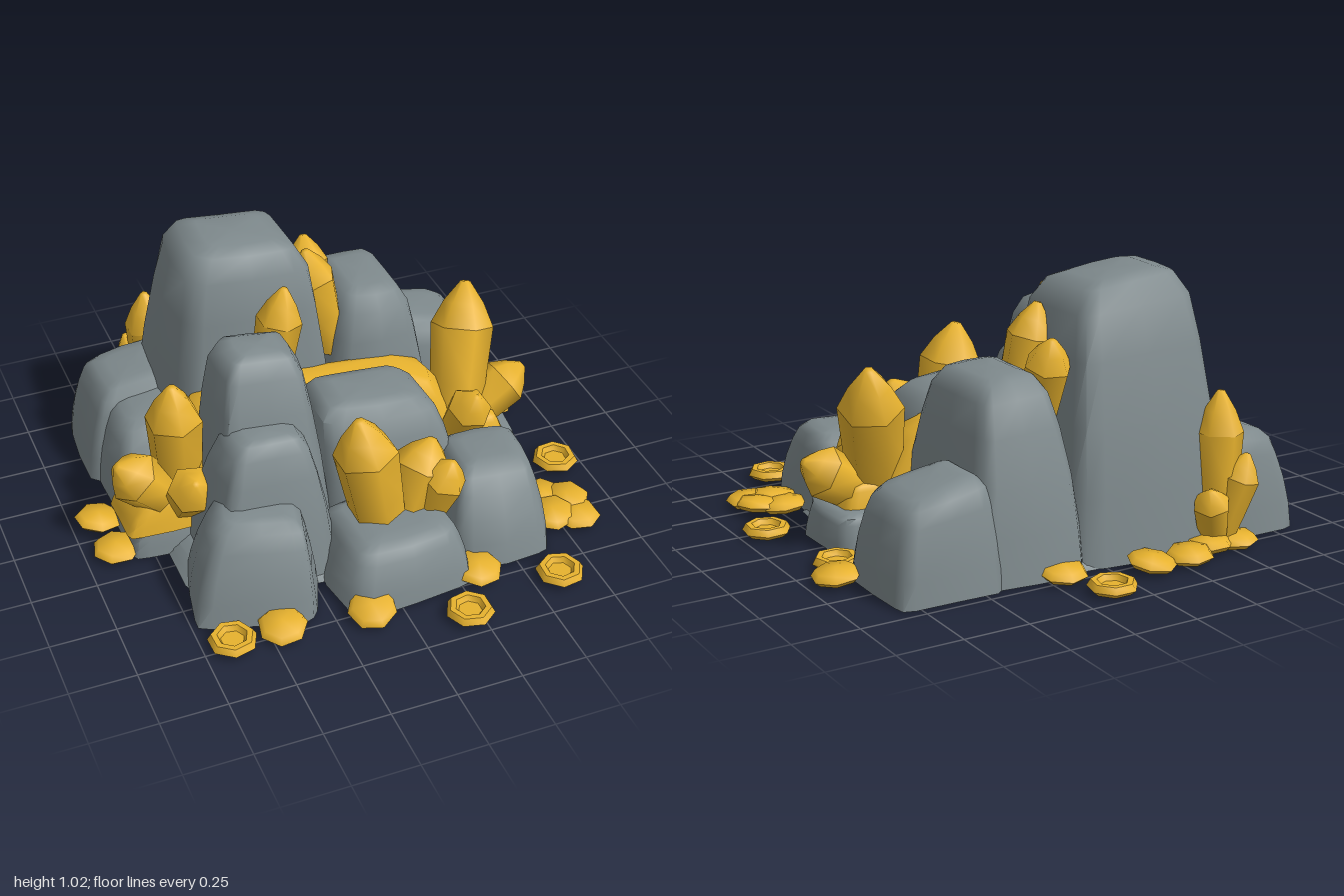
import * as THREE from 'three';
import { toCreasedNormals } from 'three/addons/utils/BufferGeometryUtils.js';

const stone = new THREE.MeshStandardMaterial({ name: 'slate grey stone', color: 0x7e898c });
const gold = new THREE.MeshStandardMaterial({ name: 'gold', color: 0xf0b930 });

const SIDES = 16;
const lerp = THREE.MathUtils.lerp;
const power = (v) => Math.sign(v) * Math.pow(Math.abs(v), 0.36);

// Rounded, tapering boulder. base and top are [x0, x1, z0, z1].
function boulder(name, base, top, height, { turn = 0, slope = 0, seed = 1, lift = 0, material = stone } = {}) {
  const cx = (base[0] + base[1]) / 2, cz = (base[2] + base[3]) / 2;
  // height share, blend from base to top outline, inset of the outline
  const rings = [[0, 0, 1], [0.25, 0.14, 1], [0.5, 0.36, 1], [0.74, 0.66, 1], [0.9, 0.93, 1], [0.98, 1.05, 0.84], [1, 1.05, 0.55]];
  const pos = [], index = [];
  rings.forEach(([t, blend, inset], j) => {
    const r = base.map((b, k) => lerp(b, top[k], blend));
    const mx = (r[0] + r[1]) / 2, mz = (r[2] + r[3]) / 2;
    for (let i = 0; i < SIDES; i++) {
      const a = (i / SIDES) * Math.PI * 2;
      const wobble = inset * (1 + 0.03 * Math.sin(seed * 7.3 + i * 2.1 + j * 0.6));
      const dx = power(Math.cos(a)) * (r[1] - r[0]) / 2 * wobble;
      const dz = power(Math.sin(a)) * (r[3] - r[2]) / 2 * wobble;
      pos.push(mx + dx - cx, t * height - slope * dx * t * t, mz + dz - cz);
    }
  });
  const last = (rings.length - 1) * SIDES, bottom = rings.length * SIDES;
  pos.push(0, 0, 0, (top[0] + top[1]) / 2 - cx, height, (top[2] + top[3]) / 2 - cz);
  for (let i = 0; i < SIDES; i++) {
    const n = (i + 1) % SIDES;
    for (let j = 0; j < last; j += SIDES) {
      index.push(j + i, j + SIDES + i, j + n, j + n, j + SIDES + i, j + SIDES + n);
    }
    index.push(bottom, i, n, bottom + 1, last + n, last + i);
  }
  const geometry = new THREE.BufferGeometry();
  geometry.setAttribute('position', new THREE.Float32BufferAttribute(pos, 3));
  geometry.setIndex(index);
  const mesh = new THREE.Mesh(toCreasedNormals(geometry, 1.05), material);
  mesh.name = name;
  mesh.position.set(cx, lift, cz);
  mesh.rotation.y = turn;
  return mesh;
}

const lathe = (points, sides, crease) => toCreasedNormals(
  new THREE.LatheGeometry(points.map(([x, y]) => new THREE.Vector2(x, y)), sides), crease);

// Unit crystal: flares upwards, then closes to a blunt point
const crystalGeometry = lathe([[0, 0], [0.8, 0], [0.93, 0.35], [1.04, 0.72], [0.66, 0.87], [0.16, 1], [0, 1]], 6, 1.15);

function crystal(from, to, radius, spin) {
  const a = new THREE.Vector3(...from), axis = new THREE.Vector3(...to).sub(a);
  const mesh = new THREE.Mesh(crystalGeometry, gold);
  mesh.name = 'crystal';
  mesh.position.copy(a);
  mesh.scale.set(radius, axis.length(), radius);
  mesh.quaternion.setFromUnitVectors(new THREE.Vector3(0, 1, 0), axis.normalize());
  mesh.rotateY(spin);
  return mesh;
}

// Coin with a raised rim and a sunken middle, and a plain domed nugget
const coinGeometry = lathe([[0, 0], [0.07, 0], [0.092, 0.018], [0.078, 0.042], [0.056, 0.042], [0.044, 0.022], [0, 0.022]], 7, 0.95);
const nuggetGeometry = lathe([[0, 0], [0.072, 0], [0.092, 0.018], [0.074, 0.042], [0, 0.05]], 7, 1.2);

// Lays pieces on the ground: x, z, lift, tilt about x, tilt about z
function scatter(name, geometry, places) {
  const group = new THREE.Group();
  group.name = name + 's';
  places.forEach(([x, z, lift = 0, tiltX = 0, tiltZ = 0], i) => {
    const piece = new THREE.Mesh(geometry, gold);
    piece.name = name;
    piece.position.set(x, lift, z);
    piece.rotation.set(tiltX, i * 0.5, tiltZ);
    group.add(piece);
  });
  return group;
}

export function createModel() {
  const model = new THREE.Group();
  model.name = 'goldRockPile';

  const rocks = new THREE.Group();
  rocks.name = 'rocks';
  rocks.add(
    boulder('groundSlab', [-0.72, 0.7, -0.7, 0.56], [-0.6, 0.6, -0.6, 0.46], 0.08),
    boulder('mainPeak', [-0.58, 0.12, -0.74, -0.06], [-0.46, 0.02, -0.57, -0.17], 1.0, { slope: 0.11, seed: 2 }),
    boulder('backRightRock', [0.05, 0.52, -0.73, -0.06], [0.16, 0.43, -0.58, -0.17], 0.7, { slope: 0.07, seed: 3 }),
    boulder('farBackRightRock', [0.4, 0.84, -0.73, -0.3], [0.45, 0.77, -0.66, -0.36], 0.38, { slope: 0.2, seed: 4 }),
    boulder('backLeftRock', [-0.85, -0.42, -0.73, -0.3], [-0.77, -0.46, -0.67, -0.36], 0.4, { slope: -0.15, seed: 5 }),
    boulder('lowLeftRock', [-0.82, -0.42, -0.5, -0.06], [-0.74, -0.46, -0.46, -0.2], 0.36, { slope: -0.15, seed: 14 }),
    boulder('upperLeftRock', [-0.55, -0.1, -0.05, 0.4], [-0.46, -0.16, -0.01, 0.23], 0.81, { slope: 0.12, seed: 6 }),
    boulder('middleLeftRock', [-0.62, -0.12, 0.08, 0.53], [-0.5, -0.21, 0.2, 0.41], 0.58, { slope: 0.08, seed: 7 }),
    boulder('frontLeftRock', [-0.71, -0.24, 0.28, 0.69], [-0.6, -0.29, 0.33, 0.56], 0.36, { turn: -0.26, slope: 0.08, seed: 8 }),
    boulder('centreRock', [-0.13, 0.46, -0.04, 0.4], [-0.1, 0.34, -0.01, 0.28], 0.53, { slope: 0.1, seed: 9 }),
    boulder('frontCentreRock', [-0.21, 0.3, 0.32, 0.78], [-0.13, 0.25, 0.36, 0.69], 0.23, { turn: 0.06, seed: 10 }),
    boulder('frontRightRock', [0.29, 0.67, 0.18, 0.7], [0.35, 0.63, 0.26, 0.53], 0.33, { turn: -0.08, seed: 11 }),
    boulder('sideRightRock', [0.38, 0.78, -0.17, 0.19], [0.42, 0.76, -0.15, 0.17], 0.15, { seed: 12 }),
    boulder('sideLeftRock', [-0.84, -0.4, -0.18, 0.19], [-0.8, -0.44, -0.14, 0.16], 0.15, { seed: 13 }),
  );

  // Gold filling the cleft between the rocks and the foot of each side cluster
  const veins = new THREE.Group();
  veins.name = 'goldVeins';
  veins.add(
    boulder('cleftVein', [-0.68, 0.6, -0.17, 0.14], [-0.5, 0.44, -0.15, 0.05], 0.47, { slope: 0.1, lift: 0.02, material: gold }),
    boulder('leftVein', [-0.85, -0.5, -0.1, 0.18], [-0.76, -0.52, -0.07, 0.15], 0.14, { lift: 0.1, material: gold }),
    boulder('rightVein', [0.46, 0.72, -0.1, 0.16], [0.48, 0.68, -0.08, 0.13], 0.12, { lift: 0.12, material: gold }),
  );

  const crystals = new THREE.Group();
  crystals.name = 'crystals';
  [
    // right cluster
    [[0.53, 0.12, 0.05], [0.655, 0.69, -0.16], 0.118],
    [[0.56, 0.15, 0.02], [0.85, 0.34, -0.01], 0.095],
    [[0.53, 0.12, 0.04], [0.55, 0.4, 0.2], 0.085],
    // left cluster
    [[-0.6, 0.12, 0.02], [-0.62, 0.67, 0.06], 0.105],
    [[-0.62, 0.13, 0.06], [-0.86, 0.41, 0.11], 0.1],
    [[-0.6, 0.12, 0.06], [-0.61, 0.38, 0.28], 0.09],
    // front cluster
    [[0.04, 0.1, 0.48], [-0.05, 0.64, 0.46], 0.118],
    [[0.12, 0.1, 0.47], [0.26, 0.45, 0.43], 0.11],
    [[0.2, 0.1, 0.46], [0.29, 0.42, 0.55], 0.085],
    // upper crystals around the peak
    [[-0.21, 0.42, -0.07], [-0.13, 0.9, -0.07], 0.085],
    [[0.13, 0.45, -0.27], [0.04, 0.89, -0.3], 0.088],
    [[0.11, 0.45, -0.4], [0.12, 0.81, -0.53], 0.085],
    // back cluster
    [[-0.47, 0.03, -0.71], [-0.49, 0.58, -0.7], 0.088],
    [[-0.48, 0.03, -0.72], [-0.56, 0.35, -0.78], 0.072],
    [[-0.46, 0.03, -0.72], [-0.39, 0.24, -0.79], 0.068],
  ].forEach(([from, to, radius], i) => crystals.add(crystal(from, to, radius, i * 0.7)));

  const coins = scatter('coin', coinGeometry, [
    [0.11, -0.91], [0.82, -0.21], [0.9, 0.22], [0.61, 0.83], [0.21, 0.9], [-0.64, 0.73],
  ]);
  const nuggets = scatter('nugget', nuggetGeometry, [
    [0.89, -0.35, 0.01, 0, -0.1], [-0.45, 0.73, 0.01, 0.15, 0.1], [-0.12, 0.77, 0.02, 0.1, 0.25], [0.33, 0.71, 0.01, 0.15, 0],
    [-0.28, -0.82, 0.01, -0.1, 0.1], [-0.12, -0.81, 0.01, 0, -0.15], [0.2, -0.73, 0.01, -0.1, 0],
    [-0.9, -0.08, 0.01, 0, 0.15], [-0.88, 0.1], [-0.4, -0.77, 0.01, 0.1, 0], [-0.53, -0.75],
    [0.74, 0.42, 0.01, 0, -0.1], [0.82, 0.47, 0.01, 0.1, 0.1], [0.82, 0.56], [0.73, 0.53, 0.01, 0, 0.12],
  ]);

  model.add(rocks, veins, crystals, coins, nuggets);
  return model;
}
